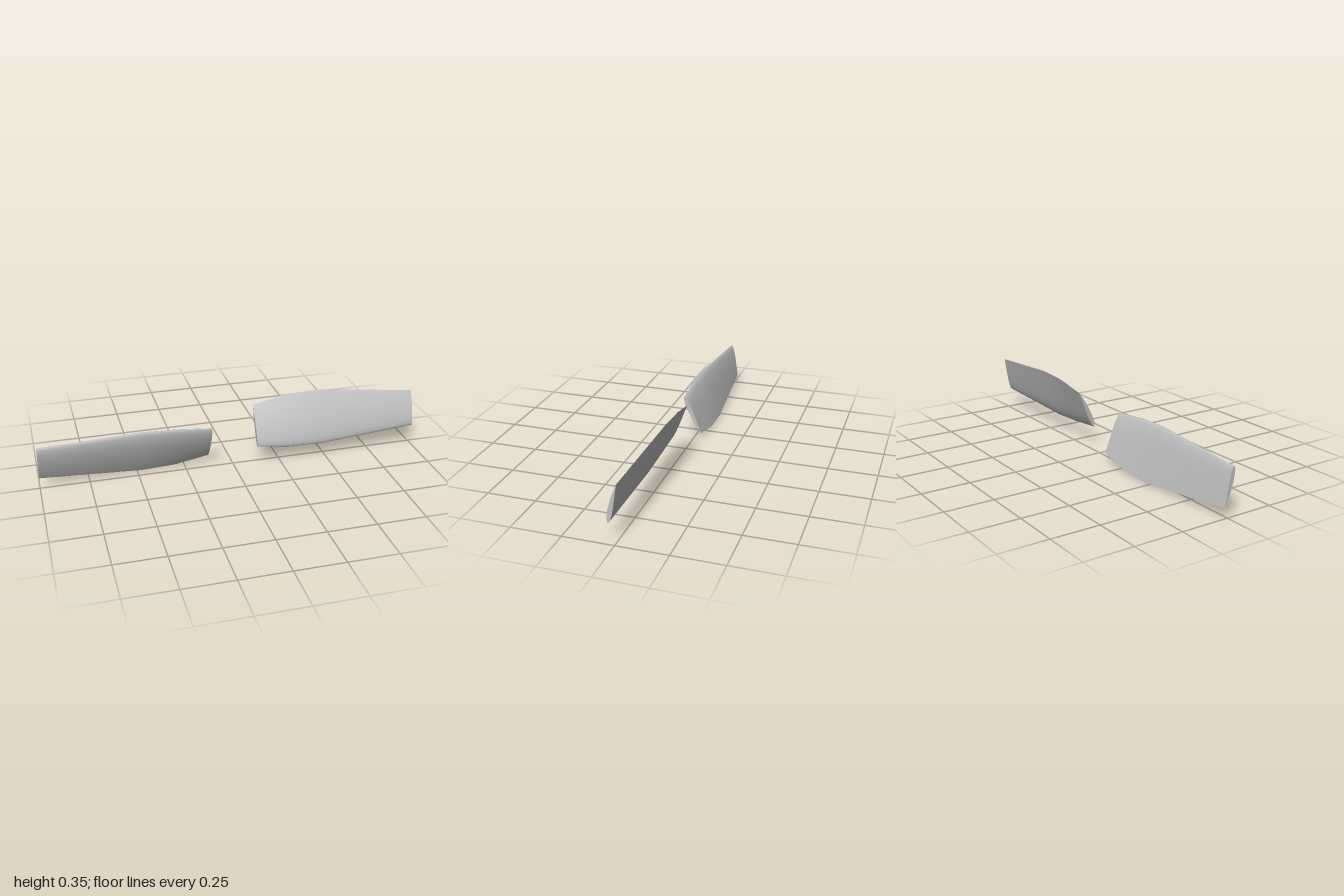
import * as THREE from 'three';

const HUB_Y = 0.175;
// Blade stations: x, leading edge (y, z), trailing edge (y, z)
const STATIONS = [
  [0.12, 0.106, 0.046, 0.305, -0.046],
  [0.296, 0.087, 0.051, 0.341, -0.054],
  [0.472, 0.081, 0.048, 0.348, -0.051],
  [1.0, 0.11, 0.027, 0.3, -0.016],
];
const STEPS = 14;
const THICKNESS = 0.12;

// Airfoil loop in chord units, from trailing edge over the front to the nose and back
function airfoil() {
  const points = [];
  for (let i = -STEPS; i <= STEPS; i++) {
    const u = (1 - Math.cos((Math.PI * Math.abs(i)) / STEPS)) / 2;
    const half = 5 * THICKNESS * (0.2969 * Math.sqrt(u) - 0.126 * u
      - 0.3516 * u * u + 0.2843 * u ** 3 - 0.1036 * u ** 4);
    const camber = 0.06 * u * (1 - u);
    points.push([u, camber + (i < 0 ? half : -half)]);
  }
  return points;
}

function bladeGeometry() {
  const profile = airfoil();
  const n = profile.length;
  const positions = [];
  const index = [];

  const addSection = ([x, ly, lz, ty, tz]) => {
    const start = positions.length / 3;
    const cy = ty - ly;
    const cz = tz - lz;
    for (const [u, v] of profile) {
      positions.push(x, ly + cy * u - cz * v - HUB_Y, lz + cz * u + cy * v);
    }
    return start;
  };

  // Twisted skin
  const rings = STATIONS.map(addSection);
  for (let s = 0; s < rings.length - 1; s++) {
    for (let j = 0; j < n - 1; j++) {
      const a = rings[s] + j;
      const b = rings[s + 1] + j;
      index.push(a, a + 1, b, a + 1, b + 1, b);
    }
  }

  // Flat root and tip caps with their own vertices
  const root = addSection(STATIONS[0]);
  const tip = addSection(STATIONS[STATIONS.length - 1]);
  for (let j = 1; j < n - 2; j++) {
    index.push(root, root + j + 1, root + j);
    index.push(tip, tip + j, tip + j + 1);
  }

  const geometry = new THREE.BufferGeometry();
  geometry.setAttribute('position', new THREE.Float32BufferAttribute(positions, 3));
  geometry.setIndex(index);
  geometry.computeVertexNormals();
  return geometry;
}

export function createModel() {
  const group = new THREE.Group();
  group.name = 'propellerBlades';
  const grey = new THREE.MeshStandardMaterial({ color: 0xc0c0c0 });
  grey.name = 'bladeGrey';
  const geometry = bladeGeometry();

  // Two equal blades, half a turn apart about the hub axis
  ['leftBlade', 'rightBlade'].forEach((name, i) => {
    const blade = new THREE.Mesh(geometry, grey);
    blade.name = name;
    blade.position.y = HUB_Y;
    blade.rotation.z = i * Math.PI;
    group.add(blade);
  });
  return group;
}
